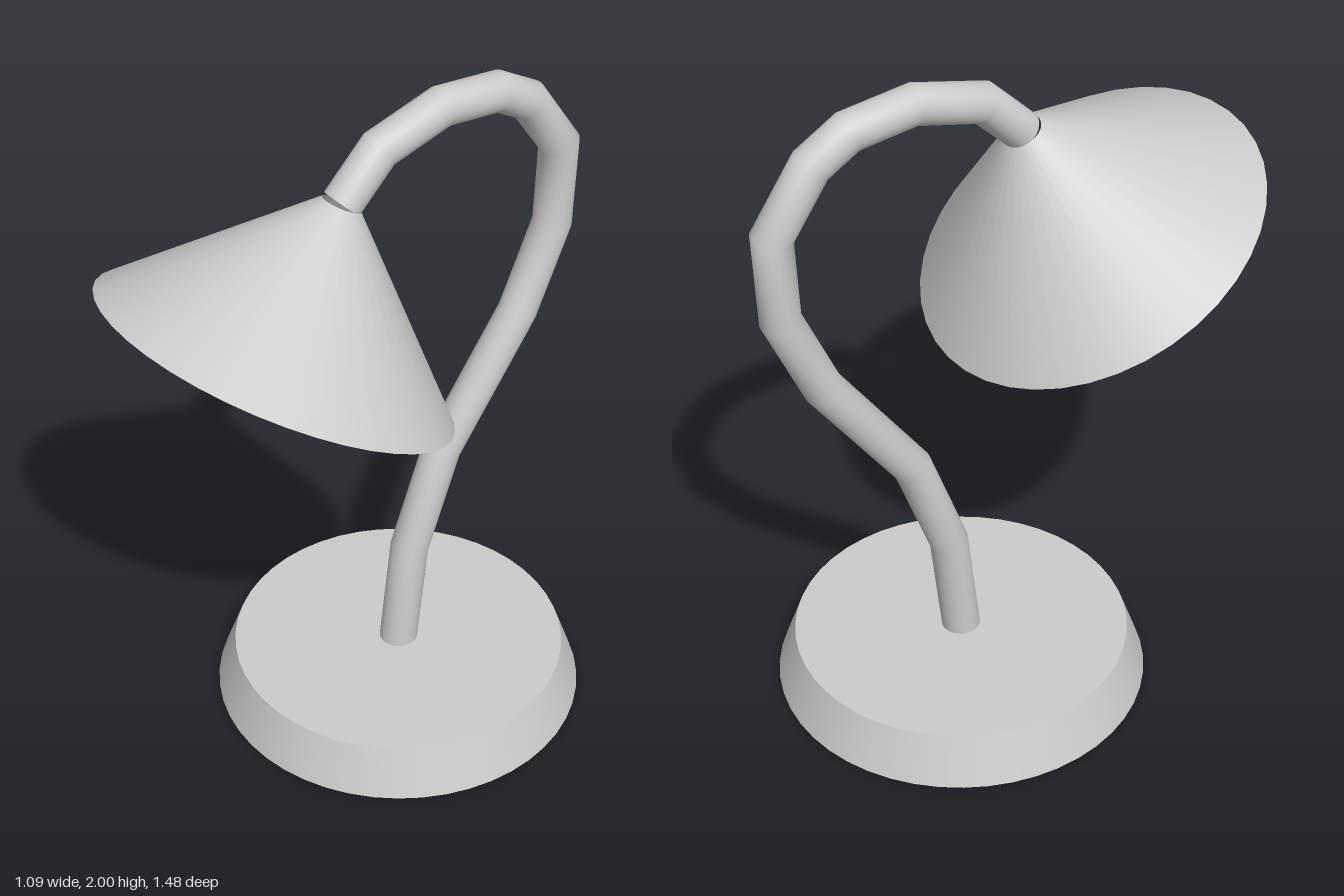
import * as THREE from 'three';

const material = new THREE.MeshStandardMaterial({ color: 0xcccccc });
const thin = new THREE.MeshStandardMaterial({ color: 0xcccccc, side: THREE.DoubleSide });

// Bends an open cylinder along a path of [z, y] points, with mitred joints.
function bentTube(path, radius, sides) {
  const points = path.map(([z, y]) => new THREE.Vector3(0, y, z));
  const rows = points.length - 1;
  const geometry = new THREE.CylinderGeometry(1, 1, 1, sides, rows, true);
  const pos = geometry.attributes.position;
  const nor = geometry.attributes.normal;
  const direction = (i) => {
    const k = THREE.MathUtils.clamp(i, 0, rows - 1);
    return points[k + 1].clone().sub(points[k]).normalize();
  };
  for (let v = 0; v < pos.count; v++) {
    const i = rows - Math.floor(v / (sides + 1)); // row 0 of the cylinder is its top
    const incoming = direction(i - 1);
    const tangent = incoming.clone().add(direction(i)).normalize();
    const mitre = 1 / tangent.dot(incoming);
    const side = new THREE.Vector3(0, -tangent.z, tangent.y);
    const x = pos.getX(v), z = pos.getZ(v), p = points[i];
    const s = z * radius * mitre;
    pos.setXYZ(v, x * radius, p.y + side.y * s, p.z + side.z * s);
    nor.setXYZ(v, x, side.y * z, side.z * z);
  }
  return geometry;
}

export function createModel() {
  const lamp = new THREE.Group();
  lamp.name = 'deskLamp';
  const add = (name, geometry, mat) => {
    const mesh = new THREE.Mesh(geometry, mat);
    mesh.name = name;
    lamp.add(mesh);
    return mesh;
  };

  // Round, slightly tapered foot
  add('base', new THREE.CylinderGeometry(0.49, 0.543, 0.148, 48), material)
    .position.set(0, 0.074, -0.142);

  // Gooseneck from the foot up and over to the shade
  const path = [
    [-0.142, 0.14], [-0.18, 0.476], [-0.294, 0.79], [-0.56, 1.164], [-0.674, 1.423],
    [-0.685, 1.68], [-0.565, 1.857], [-0.456, 1.922], [-0.265, 1.944], [-0.061, 1.889],
    [0.061, 1.767],
  ];
  add('gooseneck', bentTube(path, 0.056, 24), thin);

  // Open conical shade, tilted so that its mouth faces down and forward
  const neck = new THREE.Vector3(0, 1.767, 0.061);
  const mouth = new THREE.Vector3(0, 1.37, 0.281);
  const axis = neck.clone().sub(mouth);
  const shade = add('shade', new THREE.CylinderGeometry(0.055, 0.519, axis.length(), 40, 1, true), thin);
  shade.position.copy(neck).add(mouth).multiplyScalar(0.5);
  shade.quaternion.setFromUnitVectors(new THREE.Vector3(0, 1, 0), axis.normalize());

  return lamp;
}
